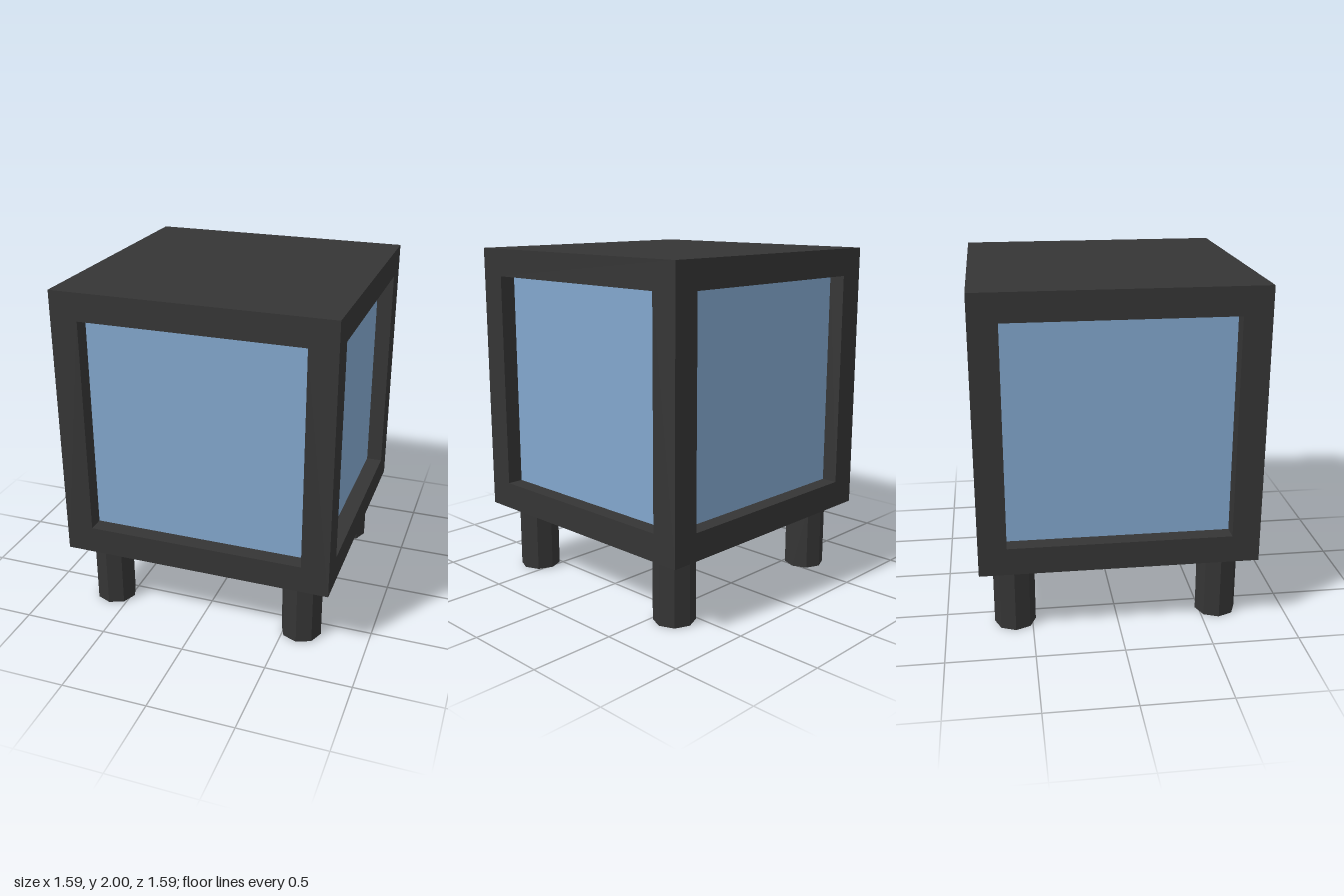
import * as THREE from 'three';
import { mergeGeometries } from 'three/addons/utils/BufferGeometryUtils.js';

const HALF = 0.797;      // half width of the cube
const OPEN = 0.637;      // half width of each window opening
const DEPTH = 0.095;     // how far the panes sit back
const BOTTOM = 0.406;    // underside of the cube
const MID = BOTTOM + HALF;

const square = (h, Type) => new Type([
  new THREE.Vector2(-h, -h), new THREE.Vector2(h, -h),
  new THREE.Vector2(h, h), new THREE.Vector2(-h, h),
]);

// One side of the casing: a square frame with four inward reveals
function frameSide() {
  const face = square(HALF, THREE.Shape);
  face.holes.push(square(OPEN, THREE.Path));
  const parts = [new THREE.ShapeGeometry(face).translate(0, 0, HALF)];
  for (let i = 0; i < 4; i++) {
    parts.push(new THREE.PlaneGeometry(2 * OPEN, DEPTH)
      .rotateX(-Math.PI / 2)
      .translate(0, -OPEN, HALF - DEPTH / 2)
      .rotateZ(i * Math.PI / 2));
  }
  return mergeGeometries(parts);
}

export function createModel() {
  const model = new THREE.Group();
  const dark = new THREE.MeshStandardMaterial({ color: 0x353535 });
  dark.name = 'charcoal';
  const blue = new THREE.MeshStandardMaterial({ color: 0x82a7cd });
  blue.name = 'glass blue';

  const add = (name, geometry, material, x, y, z) => {
    const mesh = new THREE.Mesh(geometry, material);
    mesh.name = name;
    mesh.position.set(x, y, z);
    model.add(mesh);
    return mesh;
  };

  // Casing: four framed sides closed by a top and a bottom
  const casing = [1, -1].map((s) => new THREE.PlaneGeometry(2 * HALF, 2 * HALF)
    .translate(0, 0, HALF).rotateX(-s * Math.PI / 2));
  for (let i = 0; i < 4; i++) casing.push(frameSide().rotateY(i * Math.PI / 2));
  add('casing', mergeGeometries(casing), dark, 0, MID, 0);

  // Recessed window panes
  const pane = new THREE.PlaneGeometry(2 * OPEN, 2 * OPEN).translate(0, 0, HALF - DEPTH);
  ['frontPane', 'leftPane', 'backPane', 'rightPane'].forEach((name, i) => {
    add(name, pane, blue, 0, MID, 0).rotation.y = i * Math.PI / 2;
  });

  // Eight-sided legs
  const leg = new THREE.CylinderGeometry(0.12, 0.12, BOTTOM, 8).toNonIndexed();
  leg.computeVertexNormals();
  for (const x of [-0.6, 0.6]) {
    for (const z of [-0.6, 0.6]) {
      add((z > 0 ? 'front' : 'back') + (x > 0 ? 'Left' : 'Right') + 'Leg', leg, dark, x, BOTTOM / 2, z);
    }
  }
  return model;
}
